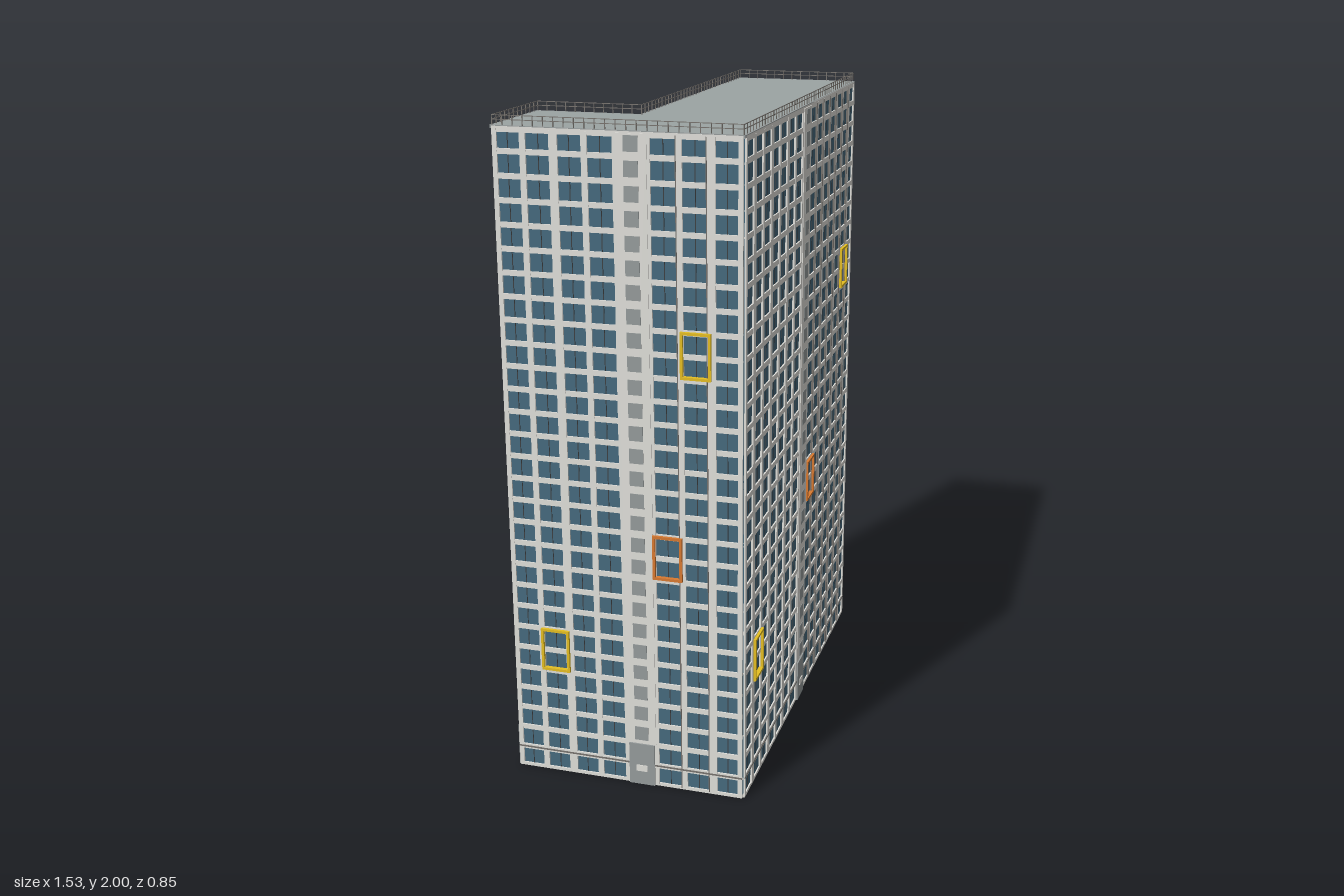
import * as THREE from 'three';
import { mergeGeometries } from 'three/addons/utils/BufferGeometryUtils.js';

const FLOORS = 29, H = 1.97, FLOOR = H / FLOORS, BASE = FLOOR * 2;

function material(name, color) {
  const m = new THREE.MeshStandardMaterial({ color });
  m.name = name;
  return m;
}

// Collects boxes by part name and turns each part into a single mesh
class Parts {
  constructor() { this.map = new Map(); }
  box(name, mat, x, y, z, w, h, d) {
    if (!this.map.has(name)) this.map.set(name, { mat, list: [] });
    this.map.get(name).list.push(new THREE.BoxGeometry(w, h, d).translate(x, y, z));
  }
  addTo(group) {
    for (const [name, { mat, list }] of this.map) {
      const mesh = new THREE.Mesh(mergeGeometries(list), mat);
      mesh.name = name;
      group.add(mesh);
    }
  }
}

export function createModel() {
  const mats = {
    wall: material('pale concrete', 0xe1e0db),
    glass: material('blue glass', 0x466a7e),
    roof: material('roof grey', 0x9ca4a3),
    base: material('plinth grey', 0x969c9c),
    dark: material('dark metal', 0x3d4042),
    joint: material('joint grey', 0x77736e),
    yellow: material('yellow frame', 0xe6bf22),
    orange: material('orange frame', 0xd97a30),
  };

  // L-shaped footprint, turned by 20 degrees
  const t = THREE.MathUtils.degToRad(20);
  const u = new THREE.Vector2(Math.cos(t), -Math.sin(t));
  const v = new THREE.Vector2(Math.sin(t), Math.cos(t));
  const corners = [new THREE.Vector2(-0.513, 0.414)];
  const step = (dir, len) => corners.push(corners[corners.length - 1].clone().addScaledVector(dir, len));
  step(u, 1.35); step(v, -0.395); step(u, -1.03); step(v, -0.32); step(u, -0.32);

  const model = new THREE.Group();
  model.name = 'towerBlock';
  const shape = new THREE.Shape(corners.map(p => new THREE.Vector2(p.x, -p.y)));
  const slab = (name, mat, y, h) => {
    const geo = new THREE.ExtrudeGeometry(shape, { depth: h, bevelEnabled: false });
    const mesh = new THREE.Mesh(geo.rotateX(-Math.PI / 2), mat);
    mesh.position.y = y;
    mesh.name = name;
    model.add(mesh);
  };
  slab('foundation', mats.base, 0, 0.004);
  slab('body', mats.wall, 0.004, H - 0.008);
  slab('roof', mats.roof, H - 0.004, 0.006);

  // Roof railing and coping along one side
  function railing(p, L) {
    p.box('coping', mats.base, L / 2, H - 0.002, 0.002, L + 0.008, 0.008, 0.008);
    for (const y of [1.987, 1.999]) p.box('rails', mats.joint, L / 2, y, 0, L, 0.002, 0.002);
    const n = Math.round(L / 0.03);
    for (let i = 0; i <= n; i++) p.box('railPosts', mats.joint, L * i / n, 1.985, 0, 0.0025, 0.028, 0.0025);
  }

  // Open projecting frame round one bay, two floors high
  function bayFrame(p, name, mat, x, floor, w) {
    const y = (floor + 1) * FLOOR + 0.004, h = FLOOR * 2, b = 0.008, z = 0.008, d = 0.014;
    for (const s of [-1, 1]) {
      p.box(name, mat, x + s * (w - b) / 2, y, z, b, h, d);
      p.box(name, mat, x, y + s * (h - b) / 2, z, w, b, d);
    }
  }

  // Glazed side: glass, floor bands, piers, mullions and a service core
  function glazedSide(p, L, bays) {
    const w = L / bays, core = Math.floor(bays / 2), cx = (core + 0.5) * w;
    p.box('glass', mats.glass, L / 2, H / 2, 0.0005, L, H - 0.01, 0.003);
    for (let f = 0; f <= FLOORS; f++) {
      const y = Math.min(Math.max(f * FLOOR, 0.006), H - 0.008);
      p.box('floorBands', mats.wall, L / 2, y, 0.003, L, f ? 0.016 : 0.01, 0.007);
    }
    p.box('groundStrip', mats.joint, L / 2, FLOOR, 0.006, L, 0.005, 0.004);
    for (let i = 0; i <= bays; i++) {
      const fromCore = i <= core ? core - i : i - core - 1;
      const wide = fromCore > 0 && fromCore % 2 === 0 ? 0.025 : 0.018;
      const x = Math.min(Math.max(i * w, 0.007), L - 0.007);
      p.box('piers', mats.wall, x, H / 2, 0.003, i === 0 || i === bays ? 0.014 : wide, H - 0.012, 0.008);
      if (i > core + 1 && i < bays) {
        p.box('pierFins', mats.joint, x - wide / 2, H / 2, 0.004, 0.003, H - 0.012, 0.008);
      }
    }
    for (let i = 0; i < bays; i++) {
      if (i !== core) p.box('mullions', mats.dark, (i + 0.5) * w, H / 2, 0.002, 0.0025, H - 0.012, 0.002);
    }
    // Service core with louvres
    p.box('corePanel', mats.wall, cx, (H + BASE) / 2, 0.004, w, H - BASE - 0.01, 0.01);
    p.box('coreDoorPanel', mats.base, cx, BASE / 2, 0.005, w * 0.9, BASE, 0.012);
    p.box('coreDoorSign', mats.wall, cx, 0.055, 0.012, 0.035, 0.02, 0.003);
    for (let f = 2; f < FLOORS; f++) {
      p.box('coreLouvres', mats.base, cx, f * FLOOR + 0.036, 0.0095, 0.042, 0.044, 0.002);
    }
    // Coloured frames
    bayFrame(p, 'yellowFrames', mats.yellow, 1.5 * w, 5, w);
    bayFrame(p, 'orangeFrames', mats.orange, (core + 1.5) * w, 10, w);
    bayFrame(p, 'yellowFrames', mats.yellow, (bays - 1.5) * w, 19, w);
  }

  // Blind end wall: plinth, panel joints, fixing points and two-sided markers
  function endWall(p, L, { panel, door, markerLeft = mats.joint }) {
    p.box('plinth', mats.base, L / 2, BASE / 2, 0.001, L + 0.004, BASE, 0.006);
    const front = panel ? 0.006 : 0;
    for (const f of [5, 24, 27]) {
      p.box('panelJoints', mats.joint, L / 2, f * FLOOR + 0.003, front / 2, L * 0.99, 0.002, front + 0.001);
    }
    // Raised middle panel with dark edges
    if (panel) {
      const y = (H + BASE) / 2, h = H - BASE - 0.01;
      p.box('middlePanel', mats.wall, L / 2, y, 0.002, L * 0.48, h, 0.008);
      for (const s of [-1, 1]) p.box('panelEdges', mats.dark, L * (0.5 + s * 0.243), y, 0.0015, 0.003, h, 0.008);
    }
    for (let f = 2; f < FLOORS; f++) {
      for (const k of [0.12, 0.38, 0.62, 0.88]) {
        const z = k > 0.25 && k < 0.75 ? front : 0;
        p.box('fixingPoints', mats.joint, L * k, (f + 0.5) * FLOOR, z, 0.01, 0.002, 0.005);
      }
    }
    const marker = (name, k, y, left, right) => {
      p.box(name + 'Left', left, L * k - 0.0012, y, front, 0.0024, 0.045, 0.012);
      p.box(name + 'Right', right, L * k + 0.0012, y, front, 0.0024, 0.045, 0.012);
    };
    for (const [k, y] of [[0.63, 1.53], [0.29, 1.33], [0.63, 0.71], [0.29, 0.51]]) {
      marker('wallMarkers', k, y, markerLeft, mats.orange);
    }
    marker('middleMarker', 0.45, 0.985, mats.orange, mats.joint);
    if (door) {
      const x = L * 0.5, w = L * 0.56, h = 0.112;
      p.box('entranceFrame', mats.dark, x, h / 2, 0.004, w, h, 0.006);
      for (const s of [-1, 1]) p.box('entranceGlass', mats.glass, x + s * w / 4, h / 2, 0.007, w / 2 - 0.006, h - 0.01, 0.003);
    }
  }

  const sides = [
    ['frontSide', (p, L) => glazedSide(p, L, 15)],
    ['entranceEnd', (p, L) => endWall(p, L, { panel: true, door: true })],
    ['backSide', (p, L) => glazedSide(p, L, 11)],
    ['innerEnd', (p, L) => endWall(p, L, { panel: true })],
    ['wingEnd', (p, L) => endWall(p, L, { markerLeft: mats.orange })],
    ['wingSide', (p, L) => glazedSide(p, L, 8)],
  ];
  sides.forEach(([name, build], i) => {
    const a = corners[i], b = corners[(i + 1) % corners.length];
    const L = a.distanceTo(b), group = new THREE.Group(), p = new Parts();
    build(p, L);
    railing(p, L);
    p.addTo(group);
    group.name = name;
    group.position.set(a.x, 0, a.y);
    group.rotation.y = Math.atan2(a.y - b.y, b.x - a.x);
    model.add(group);
  });
  return model;
}
